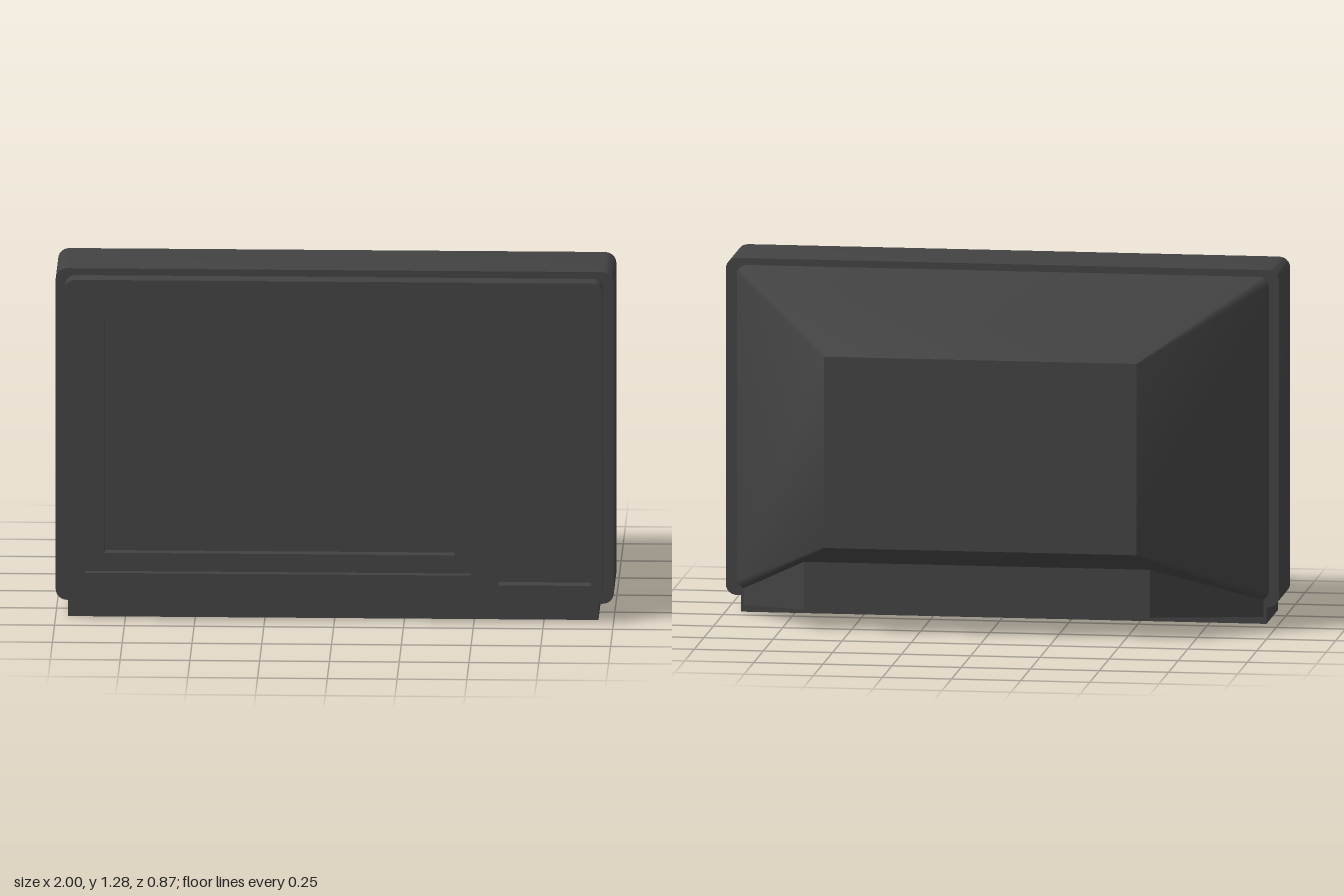
import * as THREE from 'three';
import { toCreasedNormals } from 'three/addons/utils/BufferGeometryUtils.js';

const charcoal = new THREE.MeshStandardMaterial({ color: 0x424242 });
charcoal.name = 'charcoal plastic';

// Corner points of a rounded rectangle, counter-clockwise seen from the front
function roundedRect(x0, x1, y0, y1, r, steps = 6) {
  const corners = [[x1 - r, y0 + r, -90], [x1 - r, y1 - r, 0], [x0 + r, y1 - r, 90], [x0 + r, y0 + r, 180]];
  return corners.flatMap(([cx, cy, start]) =>
    Array.from({ length: steps + 1 }, (_, i) => {
      const a = THREE.MathUtils.degToRad(start + (90 * i) / steps);
      return new THREE.Vector2(cx + r * Math.cos(a), cy + r * Math.sin(a));
    }));
}

function rectHole(x0, x1, y0, y1) {
  return new THREE.Path([[x0, y0], [x0, y1], [x1, y1], [x1, y0]].map(p => new THREE.Vector2(...p)));
}

// Slab between two depths, with optional openings
function slab(points, zBack, zFront, holes = []) {
  const shape = new THREE.Shape(points);
  shape.holes.push(...holes);
  const geo = new THREE.ExtrudeGeometry(shape, { depth: zFront - zBack, bevelEnabled: false });
  geo.translate(0, 0, zBack);
  return toCreasedNormals(geo, 0.6);
}

// Skin from a front ring to a back ring, closed at the back
function loft(front, back) {
  const centre = back.reduce((s, p) => s.add(p), new THREE.Vector3()).divideScalar(back.length);
  const tris = [];
  front.forEach((a, i) => {
    const j = (i + 1) % front.length;
    tris.push(a, back[i], back[j], a, back[j], front[j], centre, back[j], back[i]);
  });
  const geo = new THREE.BufferGeometry().setFromPoints(tris);
  geo.computeVertexNormals();
  return toCreasedNormals(geo, 0.6);
}

const atDepth = (points, z) => points.map(p => new THREE.Vector3(p.x, p.y, z));

export function createModel() {
  const model = new THREE.Group();
  model.name = 'television';
  const add = (name, geo) => {
    const mesh = new THREE.Mesh(geo, charcoal);
    mesh.name = name;
    model.add(mesh);
  };

  // Main cabinet
  add('cabinet', slab(roundedRect(-1, 1, 0.06, 1.285, 0.04), 0.07, 0.365));

  // Front bezel in two steps; the cabinet front forms the screen
  const rim = roundedRect(-0.965, 0.96, 0.085, 1.26, 0.035);
  const panel = () => rectHole(0.588, 0.92, 0.143, 1.212);
  add('bezelFront', slab(rim, 0.405, 0.435, [rectHole(-0.893, 0.49, 0.178, 1.175), panel()]));
  add('bezelStep', slab(rim, 0.365, 0.405, [rectHole(-0.823, 0.43, 0.245, 1.11), panel()]));

  // Control panel floor
  const control = new THREE.BoxGeometry(0.332, 1.069, 0.02);
  control.translate(0.754, 0.6775, 0.375);
  add('controlPanel', control);

  // Tapering rear housing
  add('rearHousing', loft(
    atDepth(rim, 0.07),
    atDepth(roundedRect(-0.555, 0.575, 0.325, 1.02, 0.003), -0.435)));

  // Foot under the cabinet
  const foot = new THREE.BoxGeometry(1.9, 0.09, 0.295);
  foot.translate(-0.005, 0.045, 0.2175);
  add('foot', foot);

  // Wedge support below the rear housing
  const ring = (x0, x1, y0, y1, z) =>
    [[x0, y0], [x1, y0], [x1, y1], [x0, y1]].map(([x, y]) => new THREE.Vector3(x, y, z));
  add('rearSupport', loft(
    ring(-0.945, 0.935, 0.025, 0.1, 0.07),
    ring(-0.58, 0.67, 0.07, 0.255, -0.265)));

  return model;
}
